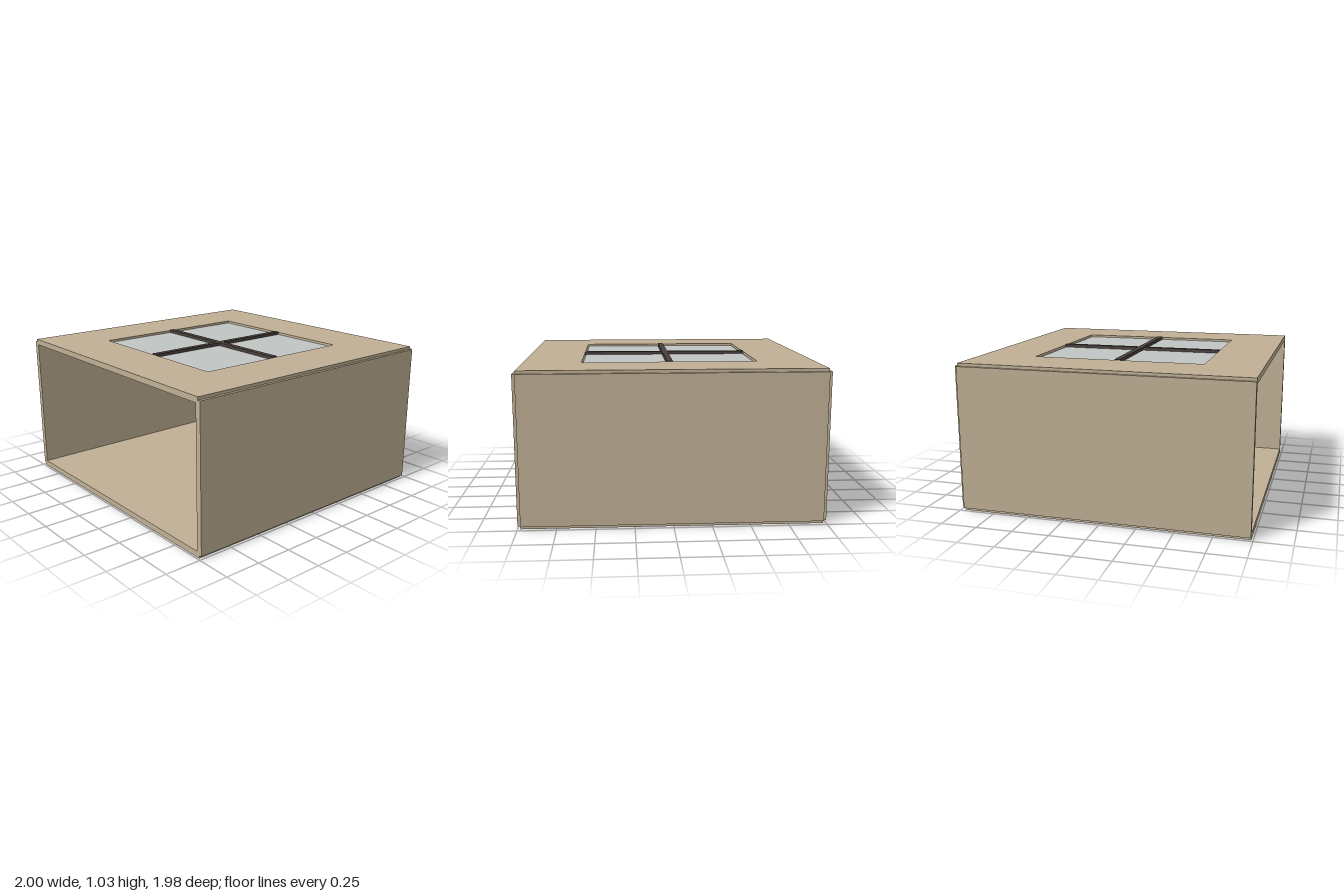
import * as THREE from 'three';

const material = (name, color) => {
  const m = new THREE.MeshStandardMaterial({ color });
  m.name = name;
  return m;
};

export function createModel() {
  const group = new THREE.Group();
  group.name = 'roomWithSkylight';
  const plaster = material('plaster', 0xbfaf94);
  const glass = material('glass', 0xc0c6c4);
  const darkWood = material('darkWood', 0x4a403c);

  // Adds a box given its lower and upper corners
  const box = (name, mat, [x0, y0, z0], [x1, y1, z1]) => {
    const mesh = new THREE.Mesh(new THREE.BoxGeometry(x1 - x0, y1 - y0, z1 - z0), mat);
    mesh.position.set((x0 + x1) / 2, (y0 + y1) / 2, (z0 + z1) / 2);
    mesh.name = name;
    group.add(mesh);
  };

  const back = -0.97, front = 0.988;
  const mid = (back + front) / 2; // centre of the skylight
  const half = 0.59;              // half the opening

  // Floor and walls, stepped where the slabs meet; the front is open
  box('floor', plaster, [-0.98, 0, back], [0.98, 0.04, front]);
  box('rightWall', plaster, [-1, 0.02, back], [-0.96, 1.0, front]);
  box('leftWall', plaster, [0.96, 0.02, back], [1, 1.0, front]);
  box('backWall', plaster, [-0.98, 0.02, -0.988], [0.98, 1.0, -0.95]);

  // Roof slab with a square opening
  const rect = (path, x, z) => path.moveTo(-x, -z).lineTo(x, -z).lineTo(x, z).lineTo(-x, z).closePath();
  const roofShape = rect(new THREE.Shape(), 0.98, (front - back) / 2);
  roofShape.holes.push(rect(new THREE.Path(), half, half));
  const roofGeometry = new THREE.ExtrudeGeometry(roofShape, { depth: 0.04, bevelEnabled: false });
  roofGeometry.rotateX(-Math.PI / 2);
  const roof = new THREE.Mesh(roofGeometry, plaster);
  roof.position.set(0, 0.98, mid);
  roof.name = 'roof';
  group.add(roof);

  // Four panes set into the opening
  for (const sx of [-1, 1]) {
    for (const sz of [-1, 1]) {
      const cx = sx * 0.303, cz = mid + sz * 0.303, r = 0.281;
      box('skylightPane', glass, [cx - r, 0.99, cz - r], [cx + r, 1.005, cz + r]);
    }
  }

  // Crossed glazing bars
  box('glazingBarAcross', darkWood, [-half, 0.976, mid - 0.02], [half, 1.026, mid + 0.02]);
  box('glazingBarAlong', darkWood, [-0.02, 0.976, mid - half], [0.02, 1.026, mid + half]);

  return group;
}
